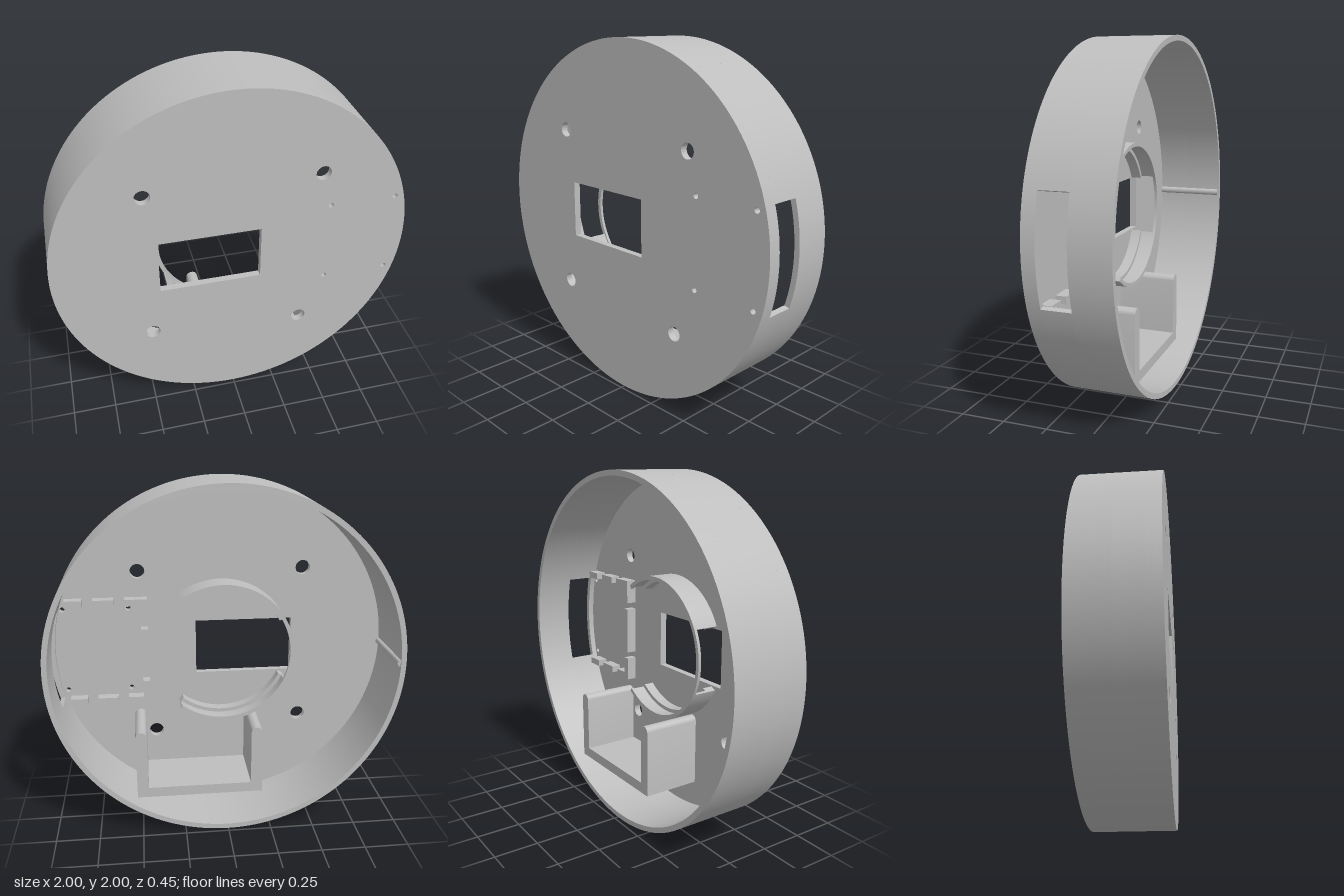
import * as THREE from 'three';
import { toCreasedNormals } from 'three/addons/utils/BufferGeometryUtils.js';

const FRONT = 0.225, BACK = -0.225, FLOOR = 0.185; // z of front face, rim and inside of the plate
const rad = THREE.MathUtils.degToRad;

export function createModel() {
  const model = new THREE.Group();
  const housing = new THREE.Group();
  housing.name = 'housing';
  housing.position.y = 1;
  model.add(housing);
  const grey = new THREE.MeshStandardMaterial({ color: 0xbebebe });
  grey.name = 'grey plastic';

  // Extrude a shape between two z values, smooth on curves and sharp on edges
  function extrude(name, shape, z0, z1, curveSegments = 24) {
    const geo = new THREE.ExtrudeGeometry(shape, { depth: z1 - z0, bevelEnabled: false, curveSegments });
    geo.translate(0, 0, z0);
    const mesh = new THREE.Mesh(toCreasedNormals(geo, 0.5), grey);
    mesh.name = name;
    housing.add(mesh);
  }
  function rect(x0, y0, x1, y1, Type = THREE.Shape) {
    return new Type([[x0, y0], [x1, y0], [x1, y1], [x0, y1]].map(p => new THREE.Vector2(...p)));
  }
  function circle(x, y, r, Type = THREE.Path) {
    return new Type().absarc(x, y, r, 0, Math.PI * 2, false);
  }
  function ring(name, r0, r1, z0, z1) {
    const s = circle(0, 0, r1, THREE.Shape);
    s.holes.push(circle(0, 0, r0));
    extrude(name, s, z0, z1, 120);
  }
  function arc(name, r0, r1, a0, a1, z0, z1, segments = 48) {
    const s = new THREE.Shape();
    s.absarc(0, 0, r1, rad(a0), rad(a1), false);
    s.absarc(0, 0, r0, rad(a1), rad(a0), true);
    s.closePath();
    extrude(name, s, z0, z1, segments);
  }
  function block(name, x0, y0, x1, y1, z0, z1) {
    extrude(name, rect(x0, y0, x1, y1), z0, z1);
  }

  // Front plate with display window, mounting holes and pin holes
  const plate = circle(0, 0, 1, THREE.Shape);
  plate.holes.push(rect(-0.42, -0.16, 0.15, 0.165, THREE.Path));
  for (const [x, y] of [[-0.48, 0.47], [0.48, 0.47], [-0.48, -0.46], [0.4, -0.53]])
    plate.holes.push(circle(x, y, 0.042));
  for (const x of [0.54, 0.915])
    for (const y of [-0.24, 0.255]) plate.holes.push(circle(x, y, 0.015));
  extrude('frontPlate', plate, FLOOR, FRONT, 120);

  // Side wall with a slot on the left side
  ring('frontWall', 0.97, 1, 0.152, FLOOR);
  arc('slottedWall', 0.97, 1, 16.26, 360 - 16.26, -0.008, 0.152, 110);
  ring('rearWall', 0.97, 1, BACK, -0.008);

  // Alignment rib on the inside of the wall
  extrude('wallRib', circle(-0.972, 0, 0.02, THREE.Shape), BACK + 0.01, FLOOR);

  // Open holder ring: stepped inside and interrupted by the window
  arc('holderRingLip', 0.393, 0.415, 52, 308, 0.033, 0.05, 64);
  for (const [a0, a1] of [[52, 154], [206, 308]]) {
    arc('holderRingWall', 0.402, 0.415, a0, a1, 0.05, 0.125);
    arc('holderRingLedge', 0.38, 0.415, a0, a1, 0.125, FLOOR);
  }

  // Battery bracket: floor and two side walls with rounded tops
  block('bracketFloor', -0.207, -0.8, 0.526, -0.74, -0.155, FLOOR);
  for (const x of [-0.174, 0.493]) {
    const s = new THREE.Shape();
    s.moveTo(x - 0.033, -0.8);
    s.lineTo(x + 0.033, -0.8);
    s.lineTo(x + 0.033, -0.418);
    s.absarc(x, -0.418, 0.033, 0, Math.PI, false);
    s.closePath();
    extrude('bracketSide', s, -0.155, FLOOR, 16);
  }

  // Circuit board frame: interrupted ridges beside the slot
  const ridge = (x0, y0, x1, y1) => block('boardRidge', x0, y0, x1, y1, 0.125, FLOOR);
  ridge(0.43, -0.14, 0.47, 0.14);
  for (const side of [-1, 1]) {
    const row = (x0, x1, a, b) => ridge(x0, Math.min(a * side, b * side), x1, Math.max(a * side, b * side));
    row(0.8, 0.9, 0.28, 0.32);
    row(0.62, 0.74, 0.28, 0.32);
    row(0.47, 0.56, 0.28, 0.32);
    row(0.43, 0.47, 0.18, 0.32);
  }
  return model;
}
